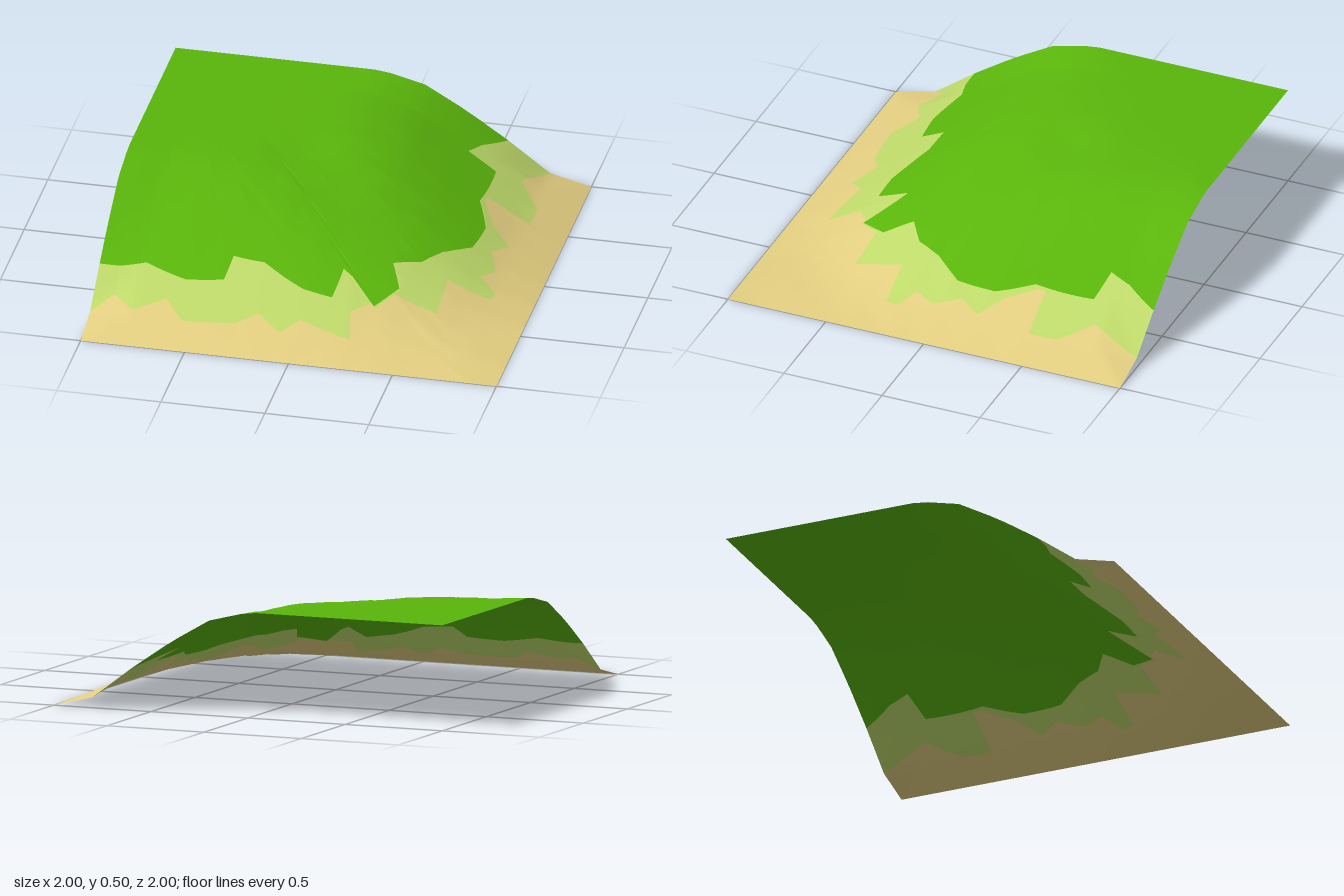
import * as THREE from 'three';

// Outlines seen from above as [x, z], from the left edge round to the back edge
const GRASS_EDGE = [[-1, .6], [-.9, .6], [-.78, .57], [-.58, .63], [-.4, .61], [-.38, .49], [-.23, .5],
  [-.02, .6], [.12, .61], [.14, .45], [.19, .48], [.32, .6], [.41, .46], [.35, .33], [.47, .25], [.54, .12],
  [.65, -.02], [.67, -.22], [.6, -.4], [.61, -.7], [.47, -.73], [.51, -.84], [.6, -1]];
const FRINGE_EDGE = [[-1, .8], [-.9, .72], [-.8, .8], [-.65, .73], [-.55, .83], [-.3, .81], [-.2, .75],
  [-.08, .83], [0, .75], [.25, .81], [.22, .66], [.4, .5], [.6, .52], [.6, .28], [.8, .28], [.82, .22],
  [.73, .15], [.78, .05], [.73, -.08], [.79, -.18], [.69, -.28], [.62, -.42], [.62, -.46], [.83, -.46],
  [.83, -.6], [.72, -.75], [.8, -1]];
// Slope profiles: [distance from the back left corner, height]
const CUT_EDGE = [[0, .5], [1, .5], [1.2, .45], [1.4, .335], [1.6, .2], [1.8, .05], [2, 0]];
const SLOPE = [[0, .5], [.8, .5], [1, .485], [1.2, .42], [1.4, .31], [1.6, .2], [1.8, .085], [2, 0]];

function lookUp(table, t) {
  let i = 1;
  while (i < table.length - 1 && table[i][0] < t) i++;
  const [a, b] = [table[i - 1], table[i]];
  const k = THREE.MathUtils.clamp((t - a[0]) / (b[0] - a[0]), 0, 1);
  return a[1] + (b[1] - a[1]) * k;
}

// Height at a lattice node; u and v run from 0 to 2 away from the high corner
function nodeHeight(i, j) {
  const u = i * 0.2, v = j * 0.2, m = Math.max(u, v);
  if (i === 0 || j === 0) return lookUp(CUT_EDGE, m);
  // rounded contours at the top, squarer towards the foot
  const p = THREE.MathUtils.clamp(3 + (m - 1) * 5, 2, 4.8);
  const d = Math.pow(Math.pow(u, p) + Math.pow(v, p), 1 / p);
  return Math.max(lookUp(SLOPE, d), 0.125 * (2 - m));
}

// Faceted height between the nodes
function height(u, v) {
  const i = Math.min(9, Math.floor(u * 5)), j = Math.min(9, Math.floor(v * 5));
  const a = u * 5 - i, b = v * 5 - j;
  const h00 = nodeHeight(i, j), h10 = nodeHeight(i + 1, j);
  const h01 = nodeHeight(i, j + 1), h11 = nodeHeight(i + 1, j + 1);
  return a + b < 1
    ? h00 + (h10 - h00) * a + (h01 - h00) * b
    : h11 + (h01 - h11) * (1 - a) + (h10 - h11) * (1 - b);
}

const toPolar = (outline) => outline
  .map(([x, z]) => [Math.atan2(z + 1, x + 1), Math.hypot(x + 1, z + 1)])
  .sort((a, b) => a[0] - b[0]);

export function createModel() {
  const group = new THREE.Group();
  group.name = 'hillCorner';
  const grassEdge = toPolar(GRASS_EDGE), fringeEdge = toPolar(FRINGE_EDGE);

  // Columns fan out from the high corner, through the outline corners
  const angles = [...grassEdge, ...fringeEdge].map((p) => p[0]);
  for (let i = 0; i <= 80; i++) angles.push(i / 80 * Math.PI / 2);
  angles.sort((a, b) => a - b);
  const columns = angles.filter((a, i) => i === 0 || a - angles[i - 1] > 1e-3);

  // Rows in each band: grass, fringe, sand
  const bands = [
    { name: 'grass', color: 0x5ab50b, rows: 20 },
    { name: 'grassFringe', color: 0xbed96a, rows: 4 },
    { name: 'sand', color: 0xe2ce80, rows: 6 },
  ];
  const positions = [];
  for (const a of columns) {
    const c = Math.cos(a), s = Math.sin(a);
    const r1 = lookUp(grassEdge, a);
    const r2 = Math.max(lookUp(fringeEdge, a), r1 + 0.01);
    const stops = [0, r1, r2, 2 / Math.max(c, s)];
    bands.forEach(({ rows }, b) => {
      for (let k = b ? 1 : 0; k <= rows; k++) {
        const r = stops[b] + (stops[b + 1] - stops[b]) * k / rows;
        const u = THREE.MathUtils.clamp(r * c, 0, 2), v = THREE.MathUtils.clamp(r * s, 0, 2);
        positions.push(u - 1, height(u, v), v - 1);
      }
    });
  }

  const perColumn = bands.reduce((n, b) => n + b.rows, 1);
  const indexRows = (from, to) => {
    const index = [];
    for (let c = 0; c < columns.length - 1; c++) {
      for (let k = from; k < to; k++) {
        const p = c * perColumn + k, q = p + perColumn;
        if (k > 0) index.push(p, q, p + 1);
        index.push(q, q + 1, p + 1);
      }
    }
    return index;
  };

  // One shared surface, so shading runs on across the colour edges
  const surface = new THREE.BufferGeometry();
  surface.setAttribute('position', new THREE.Float32BufferAttribute(positions, 3));
  surface.setIndex(indexRows(0, perColumn - 1));
  surface.computeVertexNormals();

  let start = 0;
  for (const { name, color, rows } of bands) {
    const geometry = new THREE.BufferGeometry();
    geometry.setAttribute('position', surface.getAttribute('position'));
    geometry.setAttribute('normal', surface.getAttribute('normal'));
    geometry.setIndex(indexRows(start, start + rows));
    const material = new THREE.MeshStandardMaterial({ color, side: THREE.DoubleSide });
    material.name = name;
    const mesh = new THREE.Mesh(geometry, material);
    mesh.name = name;
    group.add(mesh);
    start += rows;
  }
  return group;
}
